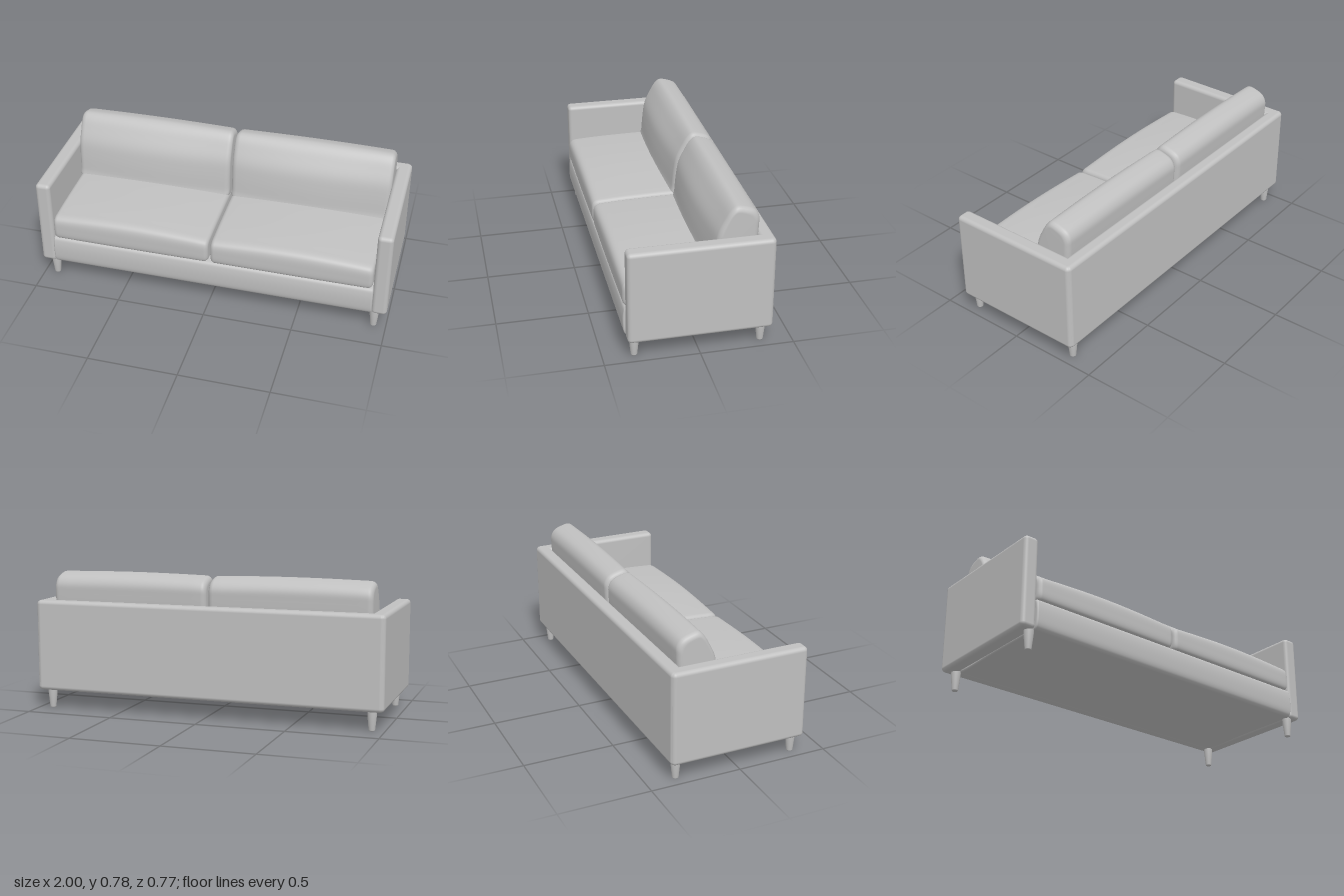
import * as THREE from 'three';
import { RoundedBoxGeometry } from 'three/addons/geometries/RoundedBoxGeometry.js';

const fabric = new THREE.MeshStandardMaterial({ color: 0xc0c0c0 });
fabric.name = 'light grey';

// Soft upholstered body: a closed (z, y) outline swept along x, rounded at both ends.
// bulge = extra [z, y] swelling of the front and top halfway along.
function softBody(outline, x0, x1, round, bulge) {
  const curve = new THREE.CatmullRomCurve3(outline.map(([z, y]) => new THREE.Vector3(0, y, z)), true);
  const ring = curve.getPoints(64).slice(0, -1);
  const box = new THREE.Box3().setFromPoints(ring);
  const mid = box.getCenter(new THREE.Vector3());
  const half = box.getSize(new THREE.Vector3()).multiplyScalar(0.5);

  // stations along x, each with its inset from the full outline
  const stations = [];
  const arc = [0, 0.25, 0.5, 0.75, 1].map(k => k * Math.PI / 2);
  for (const a of arc) stations.push([x0 + round * (1 - Math.sin(a)), round * (1 - Math.cos(a))]);
  stations.reverse();
  stations.forEach(s => { s[1] = round - Math.sqrt(Math.max(0, round ** 2 - (round - (s[0] - x0)) ** 2)); });
  stations.sort((a, b) => a[0] - b[0]);
  const ends = stations.map(([x, d]) => [x0 + x1 - x, d]).reverse();
  const middle = [];
  for (let i = 1; i < 16; i++) middle.push([x0 + round + (x1 - x0 - 2 * round) * i / 16, 0]);
  const all = [...stations, ...middle, ...ends];

  const pos = [], index = [], n = ring.length;
  for (const [x, inset] of all) {
    const swell = Math.sin(Math.PI * (x - x0) / (x1 - x0));
    for (const p of ring) {
      const nz = (p.z - mid.z) / half.z, ny = (p.y - mid.y) / half.y;
      pos.push(x,
        p.y - ny * inset + Math.max(ny, 0) * bulge[1] * swell,
        p.z - nz * inset + Math.max(nz, 0) * bulge[0] * swell);
    }
  }
  for (let i = 0; i < all.length - 1; i++) {
    for (let j = 0; j < n; j++) {
      const a = i * n + j, b = i * n + (j + 1) % n, c = a + n, d = b + n;
      index.push(a, c, b, b, c, d);
    }
  }
  // end caps
  const first = pos.length / 3, last = (all.length - 1) * n;
  pos.push(x0, mid.y, mid.z, x1, mid.y, mid.z);
  for (let j = 0; j < n; j++) {
    const k = (j + 1) % n;
    index.push(first, j, k, first + 1, last + k, last + j);
  }
  const g = new THREE.BufferGeometry();
  g.setAttribute('position', new THREE.Float32BufferAttribute(pos, 3));
  g.setIndex(index);
  g.computeVertexNormals();
  return g;
}

export function createModel() {
  const sofa = new THREE.Group();
  sofa.name = 'sofa';
  const add = (name, geometry, x = 0, y = 0, z = 0) => {
    const mesh = new THREE.Mesh(geometry, fabric);
    mesh.name = name;
    mesh.position.set(x, y, z);
    sofa.add(mesh);
  };

  // frame: back panel and padded base rail
  add('backPanel', new RoundedBoxGeometry(1.99, 0.515, 0.078, 5, 0.022), 0, 0.3625, -0.348);
  add('base', softBody([
    [0.365, 0.108], [0.38, 0.125], [0.387, 0.18], [0.384, 0.24], [0.375, 0.268], [0.35, 0.276],
    [0.1, 0.276], [-0.3, 0.276], [-0.34, 0.265], [-0.34, 0.12], [-0.32, 0.106], [0, 0.106], [0.34, 0.106],
  ], -0.918, 0.918, 0.01, [0, 0]));

  // outlines of the cushions, front bottom first
  const seatOutline = [
    [0.36, 0.272], [0.378, 0.285], [0.384, 0.34], [0.379, 0.39], [0.36, 0.408], [0.3, 0.415],
    [0.1, 0.422], [-0.15, 0.422], [-0.28, 0.41], [-0.3, 0.34], [-0.28, 0.275], [0, 0.272],
  ];
  const backOutline = [
    [-0.08, 0.40], [-0.085, 0.45], [-0.094, 0.55], [-0.108, 0.63], [-0.14, 0.70], [-0.172, 0.753],
    [-0.2, 0.774], [-0.245, 0.768], [-0.295, 0.746], [-0.317, 0.71], [-0.318, 0.66], [-0.312, 0.56],
    [-0.305, 0.42], [-0.2, 0.38],
  ];
  const legProfile = [[0, 0], [0.015, 0], [0.0175, 0.004], [0.022, 0.05], [0.0255, 0.085], [0.026, 0.112]]
    .map(([r, y]) => new THREE.Vector2(r, y));

  for (const [side, s] of [['left', 1], ['right', -1]]) {
    add(side + 'Arm', new RoundedBoxGeometry(0.085, 0.515, 0.76, 5, 0.022), s * 0.9575, 0.3625, -0.004);
    const span = (inner, outer) => s > 0 ? [inner, outer] : [-outer, -inner];
    add(side + 'SeatCushion', softBody(seatOutline, ...span(0.006, 0.911), 0.025, [0.002, 0.02]));
    add(side + 'BackCushion', softBody(backOutline, ...span(0.006, 0.918), 0.03, [0.026, 0.007]));
    for (const [end, z] of [['Front', 0.334], ['Back', -0.336]]) {
      add(side + end + 'Leg', new THREE.LatheGeometry(legProfile, 20), s * 0.93, 0, z);
    }
  }
  return sofa;
}
